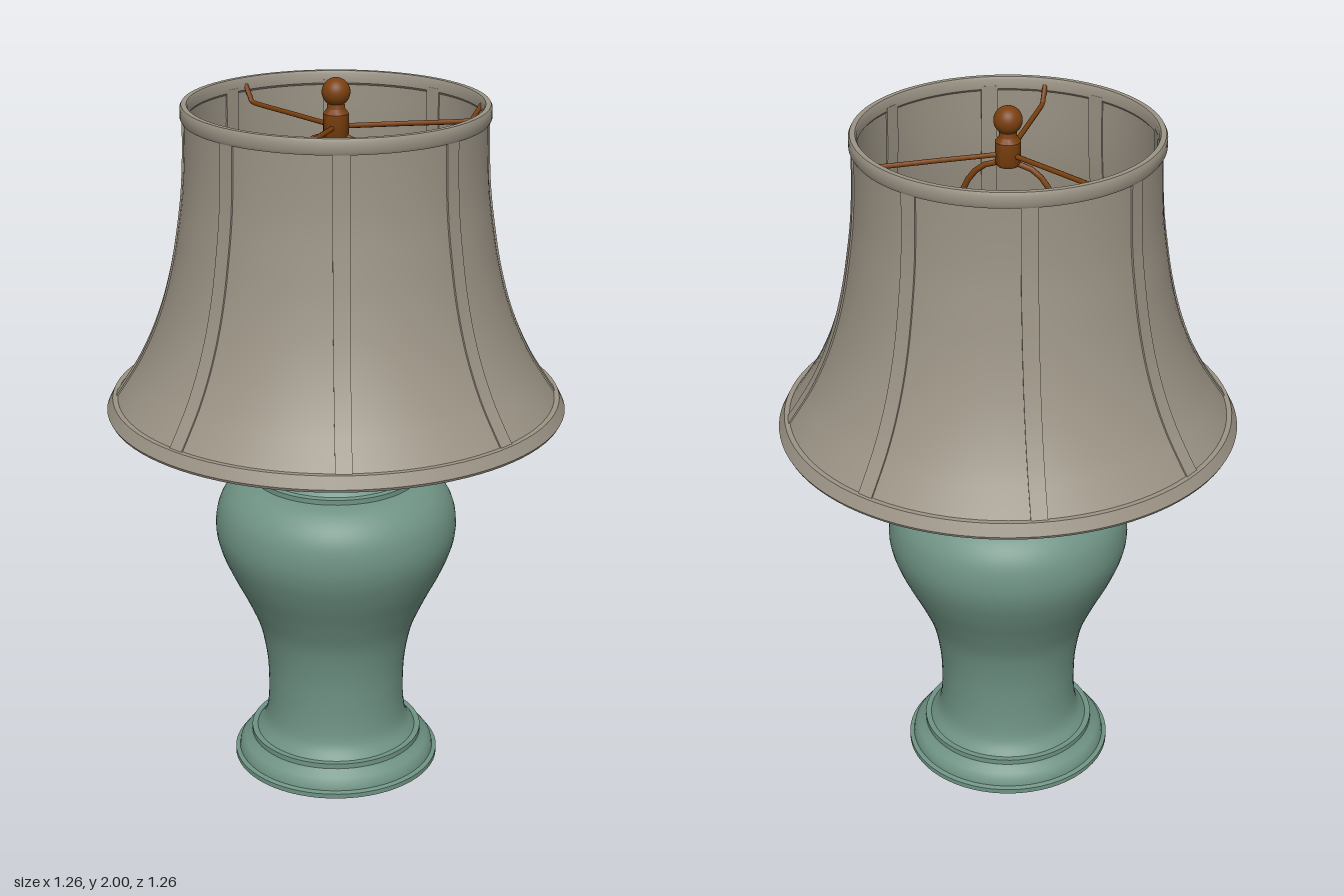
import * as THREE from 'three';
import { toCreasedNormals } from 'three/addons/utils/BufferGeometryUtils.js';

const glaze = new THREE.MeshStandardMaterial({ name: 'green glaze', color: 0x6f9384 });
const fabric = new THREE.MeshStandardMaterial({ name: 'taupe fabric', color: 0x9b9385 });
const bronze = new THREE.MeshStandardMaterial({ name: 'bronze', color: 0x7a400e });

const v2 = (pts) => pts.map(([r, y]) => new THREE.Vector2(r, y));
const smooth = (pts, n) => new THREE.SplineCurve(v2(pts)).getPoints(n);

export function createModel() {
  const lamp = new THREE.Group();
  lamp.name = 'tableLamp';

  const add = (name, geometry, material, parent = lamp) => {
    const mesh = new THREE.Mesh(geometry, material);
    mesh.name = name;
    parent.add(mesh);
    return mesh;
  };
  // Profiles run upward along the outside; sharp corners stay creased
  const lathe = (name, points, material, segments = 64) =>
    add(name, toCreasedNormals(new THREE.LatheGeometry(points, segments), 0.6), material);
  const rod = (name, pts, radius, parent, tension = 0.5) => {
    const curve = new THREE.CatmullRomCurve3(pts.map((p) => new THREE.Vector3(...p)), false, 'catmullrom', tension);
    return add(name, new THREE.TubeGeometry(curve, 48, radius, 8), bronze, parent);
  };

  // Stepped foot
  lathe('foot', v2([
    [0, 0], [0.295, 0], [0.295, 0.014], [0.283, 0.018], [0.28, 0.035], [0.268, 0.05],
    [0.252, 0.06], [0.246, 0.068], [0.246, 0.083], [0.2, 0.083],
  ]), glaze);

  // Baluster body
  lathe('vaseBody', smooth([
    [0.23, 0.083], [0.208, 0.115], [0.198, 0.16], [0.195, 0.23], [0.2, 0.32], [0.22, 0.42],
    [0.258, 0.51], [0.3, 0.595], [0.33, 0.67], [0.34, 0.73], [0.332, 0.79], [0.308, 0.835],
    [0.27, 0.868], [0.225, 0.882],
  ], 56), glaze);

  // Stepped lid
  lathe('vaseLid', v2([
    [0.2, 0.878], [0.235, 0.88], [0.235, 0.894], [0.222, 0.897], [0.211, 0.91], [0.203, 0.935],
    [0.194, 0.948], [0.178, 0.956], [0.15, 0.957], [0, 0.957],
  ]), glaze);

  // Neck cone and stem
  lathe('neck', v2([
    [0.08, 0.955], [0.076, 0.968], [0.066, 0.99], [0.06, 1.012], [0.048, 1.022],
    [0.036, 1.024], [0.036, 1.13], [0, 1.13],
  ]), glaze, 40);

  // Socket and bulb
  lathe('socket', v2([
    [0, 1.125], [0.045, 1.125], [0.06, 1.14], [0.066, 1.16], [0.066, 1.32], [0.058, 1.34], [0, 1.34],
  ]), bronze, 32);
  lathe('bulb', smooth([
    [0.046, 1.33], [0.048, 1.39], [0.066, 1.45], [0.09, 1.51], [0.095, 1.56],
    [0.083, 1.61], [0.05, 1.645], [0, 1.657],
  ], 32), glaze, 32);

  // Harp that carries the shade
  rod('harp', [
    [-0.07, 1.16, 0], [-0.1, 1.19, 0], [-0.13, 1.3, 0], [-0.147, 1.45, 0], [-0.147, 1.62, 0],
    [-0.125, 1.75, 0], [-0.075, 1.825, 0], [0, 1.845, 0], [0.075, 1.825, 0], [0.125, 1.75, 0],
    [0.147, 1.62, 0], [0.147, 1.45, 0], [0.13, 1.3, 0], [0.1, 1.19, 0], [0.07, 1.16, 0],
  ], 0.008);
  for (const side of [-1, 1]) {
    add('harpFerrule', new THREE.SphereGeometry(0.018, 16, 12), bronze).position.set(side * 0.082, 1.165, 0);
  }

  // Finial: threaded hub with a ball on top
  lathe('finialHub', v2([
    [0, 1.838], [0.028, 1.838], [0.034, 1.848], [0.034, 1.905], [0.024, 1.918], [0.022, 1.945], [0, 1.945],
  ]), bronze, 24);
  add('finialBall', new THREE.SphereGeometry(0.038, 32, 20), bronze).position.y = 1.962;

  // Three spider arms, cranked up to the top ring
  for (let i = 0; i < 3; i++) {
    const arm = new THREE.Group();
    arm.name = 'spiderArm';
    arm.rotation.y = (i * Math.PI * 2) / 3;
    rod('spiderRod', [[0, 1.87, 0], [0, 1.87, 0.18], [0, 1.87, 0.355], [0, 1.885, 0.375], [0, 1.92, 0.398]], 0.007, arm, 0.3);
    lamp.add(arm);
  }

  // Bell shade: thin wall with an outer and inner skin
  const bell = smooth([
    [0.612, 1.11], [0.575, 1.165], [0.535, 1.23], [0.497, 1.31], [0.465, 1.4], [0.44, 1.5],
    [0.423, 1.6], [0.41, 1.7], [0.404, 1.8], [0.402, 1.91],
  ], 36);
  const wall = (out, inner) => [
    ...bell.map((p) => new THREE.Vector2(p.x + out, p.y)),
    ...[...bell].reverse().map((p) => new THREE.Vector2(p.x - inner, p.y)),
  ];
  const closed = wall(0, 0.008);
  lathe('shade', [...closed, closed[0].clone()], fabric, 96);

  // Eight seam strips, slightly proud on both skins
  const width = 0.044;
  for (let i = 0; i < 8; i++) {
    const strip = new THREE.ExtrudeGeometry(new THREE.Shape(wall(0.004, 0.013)), { depth: width, bevelEnabled: false });
    strip.translate(0, 0, -width / 2);
    add('shadeSeam', toCreasedNormals(strip, 0.6), fabric).rotation.y = ((i + 0.5) * Math.PI) / 4;
  }

  // Rolled trim on both rims
  const trim = (name, r, y0, y1, lean) => lathe(name, v2([
    [r - 0.016, y0], [r - 0.004, y0], [r, y0 + 0.008], [r - lean, y1 - 0.008], [r - lean - 0.004, y1],
    [r - lean - 0.018, y1], [r - lean - 0.022, y1 - 0.008], [r - 0.022, y0 + 0.008], [r - 0.016, y0],
  ]), fabric, 96);
  trim('bottomTrim', 0.632, 1.085, 1.125, 0.012);
  trim('topTrim', 0.412, 1.893, 1.935, 0);

  return lamp;
}
